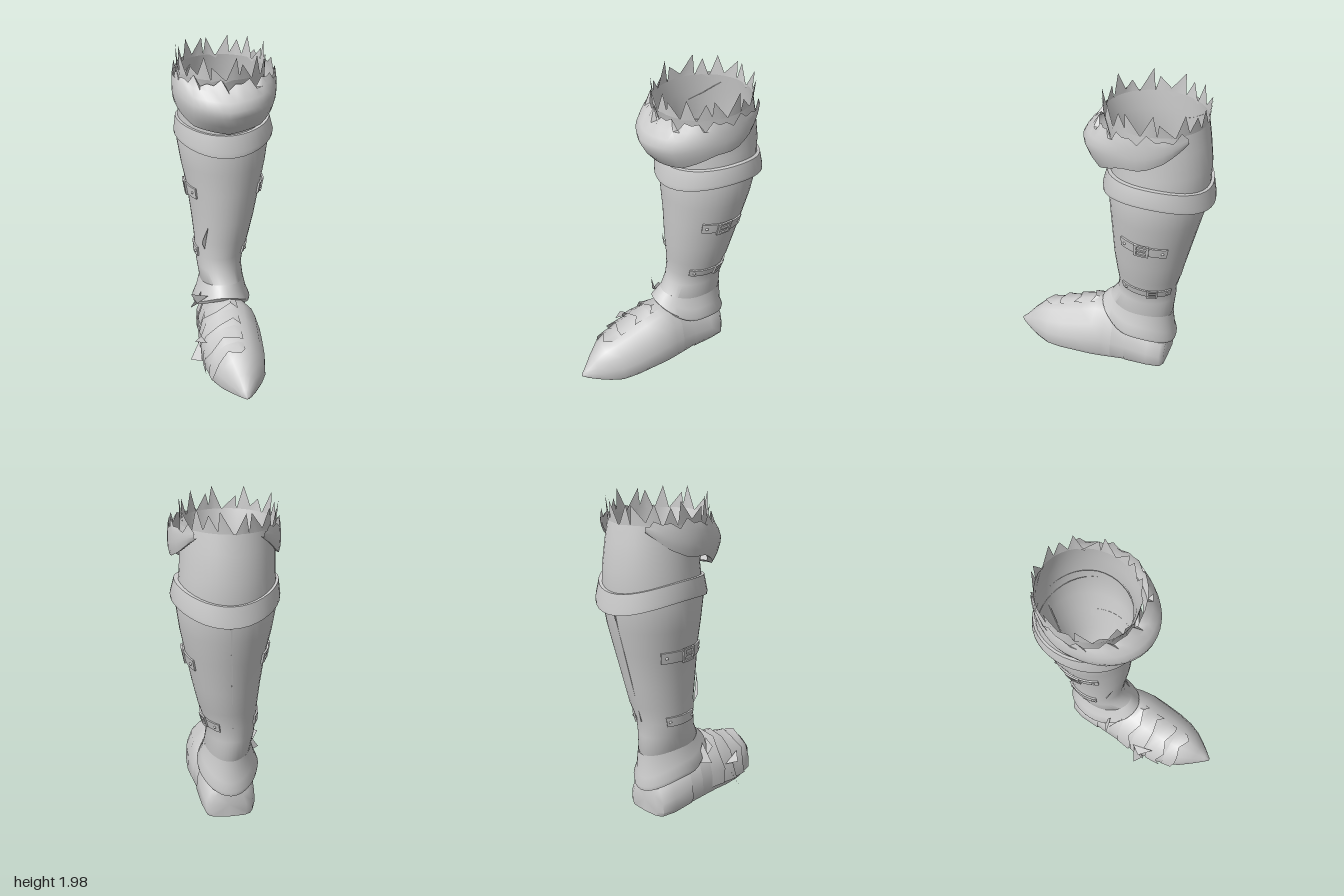
import * as THREE from 'three';
import { toCreasedNormals } from 'three/addons/utils/BufferGeometryUtils.js';

const leather = new THREE.MeshStandardMaterial({ color: 0xcccccc, side: THREE.DoubleSide });
leather.name = 'grey leather';
const V = (x, y, z) => new THREE.Vector3(x, y, z);
const lerp = THREE.MathUtils.lerp;
const N = 40;

// Skin between rows of points; rows may be closed loops, first and last row may be capped
function loft(rows, closed = true, capStart = false, capEnd = false) {
  const n = rows[0].length, pts = rows.flat(), idx = [];
  for (let r = 0; r < rows.length - 1; r++) {
    for (let i = 0; i < (closed ? n : n - 1); i++) {
      const j = (i + 1) % n, a = r * n + i, b = r * n + j;
      idx.push(a, a + n, b + n, a, b + n, b);
    }
  }
  const cap = (r, flip) => {
    const c = pts.length, mid = V(0, 0, 0);
    rows[r].forEach(p => mid.addScaledVector(p, 1 / n));
    pts.push(mid);
    for (let i = 0; i < n; i++) {
      const a = r * n + i, b = r * n + (i + 1) % n;
      idx.push(c, ...(flip ? [b, a] : [a, b]));
    }
  };
  if (capStart) cap(0, false);
  if (capEnd) cap(rows.length - 1, true);
  const g = new THREE.BufferGeometry().setFromPoints(pts);
  g.setIndex(idx);
  return toCreasedNormals(g, 0.9);
}

// Elliptical ring: side limits, back/front limits, height at back, side and front
function ring(xl, xr, zb, zf, yb, ym = yb, yf = yb) {
  return Array.from({ length: N }, (_, i) => {
    const a = i / N * Math.PI * 2, s = Math.sin(a);
    return V((xl + xr) / 2 + (xr - xl) / 2 * Math.cos(a),
      lerp(ym, s > 0 ? yf : yb, s * s),
      (zb + zf) / 2 + (zf - zb) / 2 * s);
  });
}

// Values of a table at a position, interpolated on its first column
function sample(table, at) {
  let k = 0;
  while (k < table.length - 2 && table[k + 1][0] < at) k++;
  const t = (at - table[k][0]) / (table[k + 1][0] - table[k][0]);
  return table[k].slice(1).map((v, c) => lerp(v, table[k + 1][c + 1], t));
}

// Leg rows: height, right, left, back, front
const LEG = [
  [0.55, -0.185, 0.11, -0.43, -0.045], [0.64, -0.195, 0.125, -0.43, -0.055],
  [0.75, -0.2, 0.16, -0.465, -0.045], [0.9, -0.215, 0.195, -0.495, -0.03],
  [1.1, -0.24, 0.235, -0.54, -0.02], [1.25, -0.272, 0.265, -0.575, -0.01],
  [1.4, -0.295, 0.285, -0.6, 0], [1.6, -0.28, 0.262, -0.6, -0.025],
  [1.75, -0.28, 0.255, -0.58, 0], [1.86, -0.285, 0.25, -0.56, 0.035],
];

// Point on the leg surface, pushed outward
function onLeg(a, y, out) {
  const [xl, xr, zb, zf] = sample(LEG, y);
  return V((xl + xr) / 2 + ((xr - xl) / 2 + out) * Math.cos(a), y,
    (zb + zf) / 2 + ((zf - zb) / 2 + out) * Math.sin(a));
}

// Box bent around the leg between two angles
function bentBox(a0, a1, y, h, out, thick, tilt = 0) {
  const g = new THREE.BoxGeometry(1, 1, 1, 8, 1, 1), p = g.attributes.position;
  for (let i = 0; i < p.count; i++) {
    const u = p.getX(i);
    const q = onLeg(lerp(a1, a0, u + 0.5), y + p.getY(i) * h - u * tilt, out + p.getZ(i) * thick);
    p.setXYZ(i, q.x, q.y, q.z);
  }
  return toCreasedNormals(g, 0.6);
}

// Foot sections: z, right, left, bottom, top
const FOOT = [
  [-0.408, -0.12, 0.085, 0.025, 0.22], [-0.385, -0.16, 0.12, 0.022, 0.24],
  [-0.3, -0.185, 0.14, 0.025, 0.28], [-0.155, -0.19, 0.16, 0.035, 0.34],
  [0, -0.195, 0.195, 0.04, 0.4], [0.08, -0.195, 0.208, 0.04, 0.4],
  [0.18, -0.195, 0.21, 0.035, 0.36], [0.3, -0.175, 0.208, 0.025, 0.315],
  [0.4, -0.145, 0.195, 0.02, 0.28], [0.48, -0.1, 0.165, 0.03, 0.25],
  [0.55, -0.04, 0.125, 0.04, 0.18], [0.61, 0.015, 0.085, 0.05, 0.105],
  [0.642, 0.045, 0.06, 0.06, 0.075],
];
// Cross-section from the right edge of the top opening, under the sole, to its left edge
const HALF = [[0.9, 0], [1, 0.12], [0.97, 0.4], [0.8, 0.7], [0.42, 0.92]];
const RIGHT = HALF.map(([u, v]) => [-u, v]).reverse();
const OPEN = [...RIGHT, [0, -0.03], ...HALF];
const CLOSED = [...OPEN, [0, 1]];
function onFoot(z, [u, v], out) {
  const [xl, xr, yb, yt] = sample(FOOT, z);
  return V((xl + xr) / 2 + ((xr - xl) / 2 + out) * u, yb + (yt - yb + out) * v, z);
}
const footRows = (zs, outline, out = 0) => zs.map(z => outline.map(p => onFoot(z, p, out)));

export function createModel() {
  const model = new THREE.Group();
  const add = (name, geometry, parent = model) => {
    const m = new THREE.Mesh(geometry, leather);
    m.name = name;
    parent.add(m);
    return m;
  };
  const group = name => {
    const g = new THREE.Group();
    g.name = name;
    model.add(g);
    return g;
  };

  // Leg, narrowing inside the ankle, with a ragged, toothed top edge
  const rows = LEG.map(([y, ...r]) => ring(...r, y));
  rows.unshift(ring(-0.12, 0.08, -0.37, -0.1, 0.3, 0.32, 0.36), ring(-0.17, 0.12, -0.42, 0, 0.42, 0.45, 0.48));
  add('leg', loft(rows));
  const base = rows[rows.length - 1];
  const teeth = base.map((p, i) => {
    const tip = i % 2, lean = tip * (0.2 + 0.7 * Math.sin(i * 1.9));
    const q = onLeg((i + lean) / N * Math.PI * 2, 1.86, tip * 0.01);
    q.y = tip ? 1.925 + 0.07 * Math.abs(Math.sin(i * 2.3)) : 1.86 + 0.025 * Math.sin(i);
    return q;
  });
  add('torn top edge', loft([base, teeth]));

  // Flared ankle cuff that rises toward the front
  add('ankle cuff', loft([
    ring(-0.18, 0.13, -0.41, 0, 0.22, 0.3, 0.39),
    ring(-0.215, 0.16, -0.448, 0.045, 0.19, 0.275, 0.39),
    ring(-0.22, 0.165, -0.452, 0.06, 0.215, 0.3, 0.42),
    ring(-0.195, 0.14, -0.435, 0.03, 0.27, 0.36, 0.455),
    ring(-0.17, 0.12, -0.425, 0, 0.42, 0.45, 0.48),
  ]));

  // Strap below the knee
  add('knee band', loft([
    ring(-0.29, 0.28, -0.595, -0.005, 1.38, 1.46, 1.4),
    ring(-0.31, 0.312, -0.638, 0.03, 1.36, 1.44, 1.375),
    ring(-0.312, 0.315, -0.635, 0.03, 1.39, 1.46, 1.405),
    ring(-0.3, 0.292, -0.618, 0.005, 1.48, 1.55, 1.51),
    ring(-0.278, 0.265, -0.6, -0.02, 1.48, 1.55, 1.51),
  ]));

  // Folded knee flap, open at the back, with a wavy lower edge
  const wave = [[0, 1.54], [0.7, 1.575], [1, 1.62], [1.35, 1.67], [1.75, 1.675], [2.1, 1.73], [2.5, 1.83]];
  // Profile: height fraction, side radius, front radius
  const flapProfile = [[0.07, 0.285, 0.25], [0, 0.308, 0.29], [0.2, 0.317, 0.34], [0.4, 0.319, 0.372],
    [0.55, 0.319, 0.38], [0.72, 0.317, 0.355], [0.88, 0.314, 0.315], [1, 0.308, 0.275]];
  const flapRows = flapProfile.map(([v, rx, rf]) => Array.from({ length: 37 }, (_, i) => {
    const phi = lerp(2.5, -2.5, i / 36), f = Math.abs(phi), c = Math.cos(phi);
    const jag = v === 1 ? (i % 2 ? 0.02 : -0.015) + 0.02 * Math.sin(i * 1.7) : 0;
    const top = 1.83 + 0.035 * Math.min(1, f / 1.5);
    return V(Math.sin(phi) * rx, lerp(sample(wave, f)[0], top, v) + jag, -0.23 + c * (c > 0 ? rf : 0.355));
  }));
  add('knee flap', loft(flapRows, false));

  // Foot in three parts: heel and instep open into the leg, the forefoot is closed
  add('heel counter', loft(footRows([-0.408, -0.385, -0.3, -0.155], OPEN, 0.007), false, true));
  add('instep', loft(footRows([-0.17, -0.155, -0.06], OPEN), false));
  add('forefoot', loft(footRows([-0.06, ...FOOT.slice(4).map(f => f[0])], CLOSED), true, false, true));

  // Buckled straps
  const strap = (name, a0, a1, y, h, tilt, buckleAt) => {
    const g = group(name);
    add('strap', bentBox(a0, a1, y, h, 0.005, 0.012, tilt), g);
    for (const u of [-0.4, 0.4]) {
      const rivet = add('rivet', new THREE.SphereGeometry(0.01, 8, 6), g);
      rivet.position.copy(onLeg(lerp(a1, a0, u + 0.5), y - u * tilt, 0.01));
    }
    if (buckleAt === undefined) return;
    const w = 0.14, b = buckleAt;
    for (const s of [-1, 1]) {
      add('buckle side', bentBox(b + s * w - 0.03, b + s * w + 0.03, y, h + 0.02, 0.014, 0.012), g);
      add('buckle bar', bentBox(b - w, b + w, y + s * (h / 2 + 0.003), 0.014, 0.014, 0.012), g);
    }
    add('buckle prong', bentBox(b - w, b + w, y, 0.012, 0.015, 0.01), g);
  };
  strap('upper left strap', -0.62, 0.52, 1.08, 0.07, 0.035, -0.02);
  strap('lower left strap', -1.1, 0.65, 0.66, 0.055, 0.03, -0.4);
  strap('upper right strap', Math.PI - 0.7, Math.PI + 0.6, 1.09, 0.07, 0, Math.PI - 0.1);
  strap('lower right strap', Math.PI - 0.5, Math.PI + 0.6, 0.66, 0.06, 0);

  // Raised seam down the back of the leg
  add('back seam', bentBox(-1.585, -1.555, 1, 0.7, 0.003, 0.006));

  // Overlapping torn strips wrapped over the right half of the foot
  const scraps = group('torn strips');
  const side = [...RIGHT.slice(0, 4).reverse(), [0, 1], [0.2, 0.96]];
  side.splice(3, 0, RIGHT[0]);
  side.splice(4, 1);
  [[0.02, 0.12], [0.13, 0.23], [0.25, 0.35], [0.37, 0.45]].forEach(([z0, z1], k) => {
    const strip = [0, 0.5, 1].map(t => side.map((p, i) => {
      const jag = t === 1 ? 0.02 * Math.sin(i * 2.6 + k * 1.3) : 0;
      return onFoot(lerp(z0, z1, t) + jag, p, lerp(0.004, 0.014, t) + Math.abs(jag) * 0.4);
    }));
    add('torn strip', loft(strip, false), scraps);
  });
  // Loose torn points on the foot and shin
  [
    [[-0.19, 0.2, 0.15], [-0.235, 0.21, 0.22], [-0.16, 0.24, 0.29]],
    [[-0.19, 0.07, 0.24], [-0.262, 0.06, 0.2], [-0.195, 0.19, 0.16]],
    [[-0.18, 0.3, -0.1], [-0.245, 0.3, -0.04], [-0.17, 0.42, -0.05]],
    [[-0.2, 0.33, -0.04], [-0.24, 0.41, -0.03], [-0.13, 0.42, 0.02]],
    [[-0.14, 0.7, -0.1], [-0.16, 0.76, -0.08], [-0.12, 0.88, -0.05]],
  ].forEach(t => {
    const g = new THREE.BufferGeometry().setFromPoints(t.map(p => V(...p)));
    g.computeVertexNormals();
    add('torn point', g, scraps);
  });
  return model;
}
